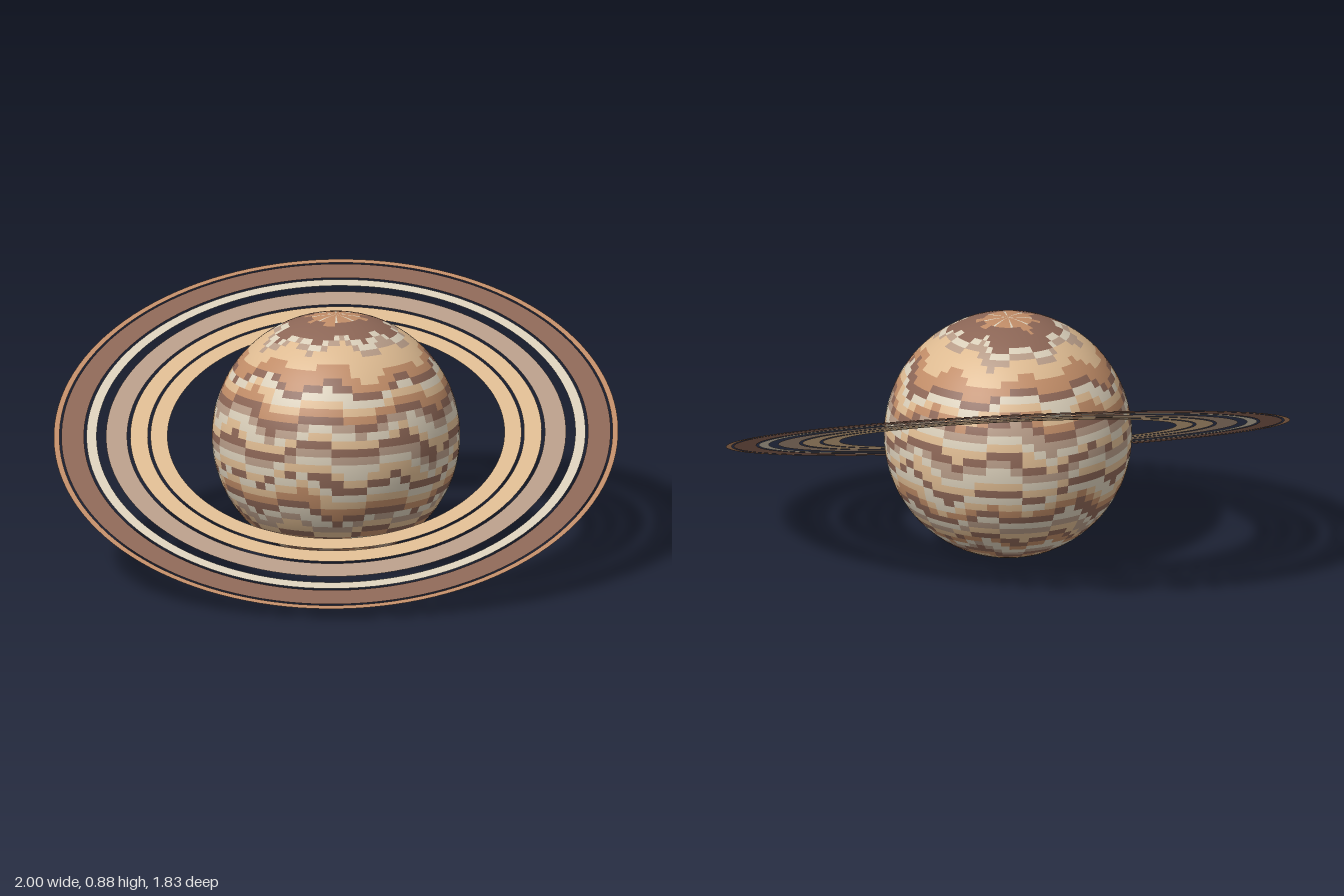
import * as THREE from 'three';

const R = 0.44, COLS = 64, ROWS = 48, TILT = 0.417;

// Cloud colour of each latitude row, from the north pole to the south pole
const BANDS = 'oooddddcmtttoodctodmctdmctdctodcmtdocmdotmoddddo';
const KEYS = 'dotmc';

function makeMaterials() {
  const make = (name, color) => {
    const m = new THREE.MeshStandardMaterial({ color, side: THREE.DoubleSide });
    m.name = name;
    return m;
  };
  return [
    make('dark brown', 0x8c6656),
    make('orange brown', 0xc08c67),
    make('warm tan', 0xddba91),
    make('mauve beige', 0xb69b87),
    make('pale cream', 0xd9ceb9),
  ];
}

// Colour index of one cell: bands that step up and down around the globe
function cellColour(row, col) {
  if (row < 3) return KEYS.indexOf(col % 8 === 0 ? 'c' : 'o');
  const lon = (col / COLS) * Math.PI * 2;
  const wobble = Math.sin(8 * lon + row * 0.15) + 0.6 * Math.sin(3 * lon + row * 0.4);
  const i = THREE.MathUtils.clamp(row + Math.round(wobble), 2, ROWS - 1);
  return KEYS.indexOf(BANDS[i]);
}

// Smooth sphere whose cells are sorted into one geometry group per colour
function bandedSphere() {
  const geo = new THREE.SphereGeometry(R, COLS, ROWS);
  const lists = Array.from(KEYS, () => []);
  for (let row = 0; row < ROWS; row++) {
    for (let col = 0; col < COLS; col++) {
      const b = row * (COLS + 1) + col, a = b + 1;
      const c = b + COLS + 1, d = c + 1;
      const list = lists[cellColour(row, col)];
      if (row > 0) list.push(a, b, d);
      if (row < ROWS - 1) list.push(b, c, d);
    }
  }
  geo.setIndex(lists.flat());
  let start = 0;
  lists.forEach((list, i) => {
    geo.addGroup(start, list.length, i);
    start += list.length;
  });
  return geo;
}

export function createModel() {
  const model = new THREE.Group();
  model.name = 'ringedPlanet';
  const materials = makeMaterials();

  // Planet body
  const planet = new THREE.Mesh(bandedSphere(), materials);
  planet.name = 'planet';
  planet.position.y = R;
  model.add(planet);

  // Flat rings, tilted down at the front: inner radius, outer radius, colour
  const rings = new THREE.Group();
  rings.name = 'rings';
  rings.position.y = R + 0.003;
  rings.rotation.x = TILT;
  [
    ['innerRing', 0.597, 0.657, 't'],
    ['secondRing', 0.667, 0.729, 't'],
    ['middleRing', 0.74, 0.815, 'm'],
    ['paleRing', 0.848, 0.884, 'c'],
    ['darkRing', 0.893, 0.973, 'd'],
    ['outerRing', 0.98, 1.0, 'o'],
  ].forEach(([name, inner, outer, key]) => {
    const geo = new THREE.RingGeometry(inner, outer, 128).rotateX(-Math.PI / 2);
    const ring = new THREE.Mesh(geo, materials[KEYS.indexOf(key)]);
    ring.name = name;
    rings.add(ring);
  });
  model.add(rings);

  return model;
}
